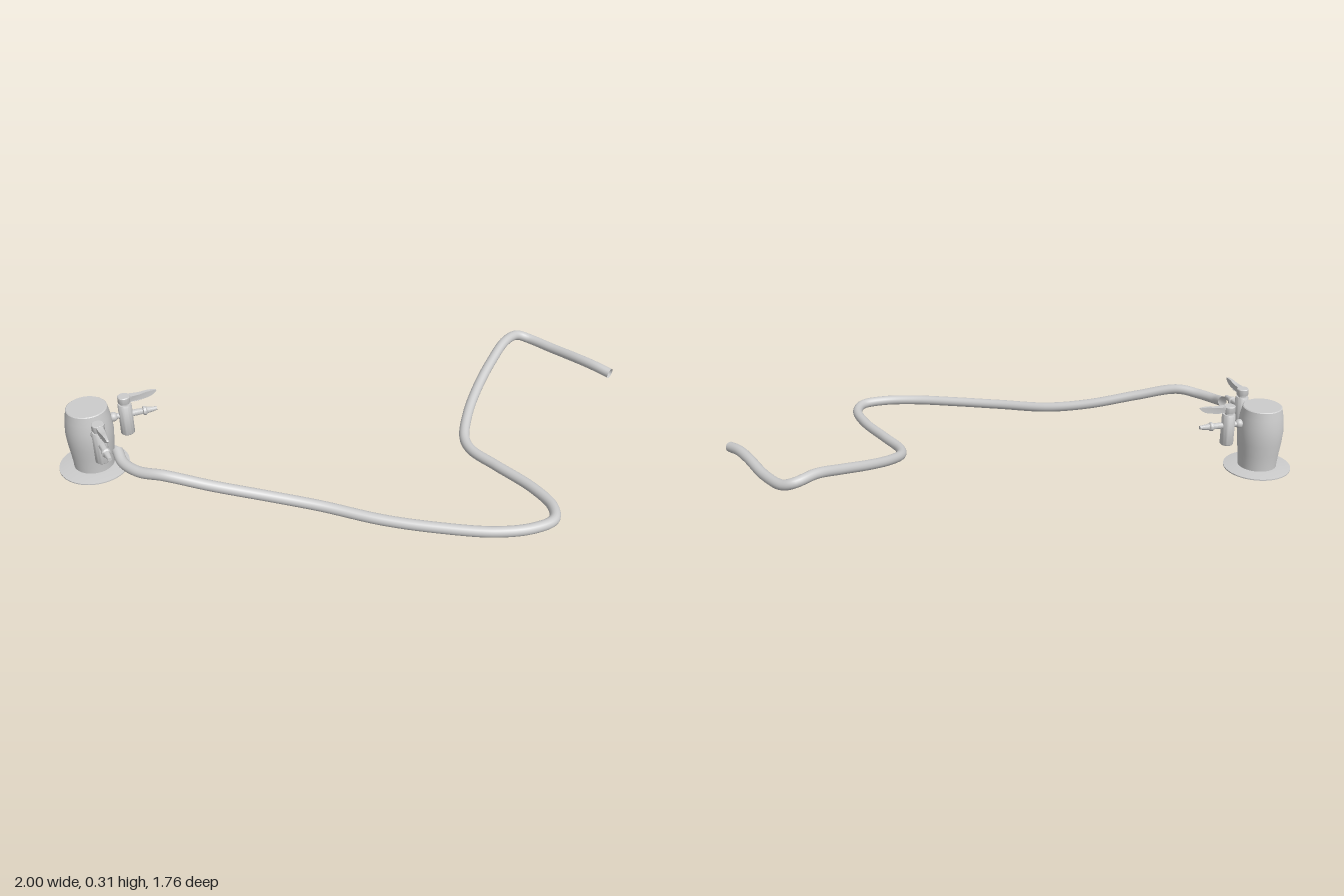
import * as THREE from 'three';
import { toCreasedNormals } from 'three/addons/utils/BufferGeometryUtils.js';

const material = new THREE.MeshStandardMaterial({ color: 0xcccccc, side: THREE.DoubleSide });

function add(parent, name, geometry, x = 0, y = 0, z = 0) {
  const mesh = new THREE.Mesh(geometry, material);
  mesh.name = name;
  mesh.position.set(x, y, z);
  parent.add(mesh);
  return mesh;
}

// Solid of revolution with crisp edges kept; points are [radius, height]
function lathe(points, segments = 32) {
  const profile = points.map(([r, h]) => new THREE.Vector2(r, h));
  return toCreasedNormals(new THREE.LatheGeometry(profile, segments), 0.6);
}

// Tap valve: local +x points away from the barrel, origin on the barrel axis
function createValve(name, angle, distance) {
  const valve = new THREE.Group();
  valve.name = name;
  valve.rotation.y = -angle;

  // Inlet pipe with a rounded union at the barrel wall
  const inlet = new THREE.CylinderGeometry(0.012, 0.012, distance - 0.07, 16).rotateZ(Math.PI / 2);
  add(valve, 'inletPipe', inlet, (distance + 0.07) / 2, 0.215, 0);
  add(valve, 'inletUnion', new THREE.SphereGeometry(0.02, 20, 14), 0.102, 0.215, 0);

  // Upright body, neck and handle hub
  add(valve, 'valveBody', lathe([
    [0, 0.127], [0.027, 0.127], [0.029, 0.13], [0.029, 0.262], [0.026, 0.267],
    [0.019, 0.267], [0.019, 0.276], [0.025, 0.276], [0.026, 0.279],
    [0.026, 0.302], [0.023, 0.305], [0, 0.305],
  ], 24), distance);

  // Outlet spout with a raised collar and tapering tip
  const spout = lathe([
    [0.014, 0.02], [0.013, 0.07], [0.019, 0.073], [0.019, 0.083],
    [0.014, 0.088], [0.008, 0.13], [0, 0.13],
  ], 20).rotateZ(-Math.PI / 2);
  add(valve, 'spout', spout, distance, 0.215, 0);

  // Wavy lever blade
  const side = new THREE.Shape();
  side.moveTo(0, 0.277);
  side.lineTo(0.035, 0.277);
  side.bezierCurveTo(0.06, 0.274, 0.075, 0.279, 0.095, 0.281);
  side.bezierCurveTo(0.115, 0.283, 0.13, 0.294, 0.136, 0.303);
  side.bezierCurveTo(0.135, 0.31, 0.105, 0.309, 0.085, 0.307);
  side.bezierCurveTo(0.065, 0.303, 0.05, 0.302, 0.03, 0.304);
  side.lineTo(0, 0.304);
  side.closePath();
  const blade = new THREE.ExtrudeGeometry(side, { depth: 0.026, bevelEnabled: false, curveSegments: 10 });
  blade.translate(0, 0, -0.013);
  // Narrow the blade towards its tip
  const p = blade.attributes.position;
  for (let i = 0; i < p.count; i++) {
    const t = Math.max(0, p.getX(i) - 0.035) / 0.101;
    p.setZ(i, p.getZ(i) * (1 - 0.72 * t));
  }
  blade.computeVertexNormals();
  add(valve, 'lever', toCreasedNormals(blade, 0.6), distance);
  return valve;
}

export function createModel() {
  const model = new THREE.Group();
  model.name = 'standpipeWithHose';

  const standpipe = new THREE.Group();
  standpipe.name = 'standpipe';
  standpipe.position.set(-0.855, 0, 0.698);
  model.add(standpipe);

  // Flared foot ring, open in the middle
  add(standpipe, 'footRing', lathe([
    [0.082, 0], [0.145, 0], [0.145, 0.005], [0.1, 0.012], [0.08, 0.013],
  ], 48));

  // Bulging barrel with a flat lid
  add(standpipe, 'barrel', lathe([
    [0.083, 0], [0.084, 0.03], [0.089, 0.08], [0.095, 0.13], [0.098, 0.175],
    [0.096, 0.21], [0.091, 0.25], [0.085, 0.278], [0.084, 0.285],
    [0.08, 0.288], [0, 0.288],
  ], 48));

  standpipe.add(createValve('frontValve', 0.607, 0.165));
  standpipe.add(createValve('backValve', -0.855, 0.154));

  // Hose centre line
  const path = [
    [-0.623, 0.215, 0.805], [-0.57, 0.2, 0.842], [-0.48, 0.198, 0.86], [-0.377, 0.204, 0.841],
    [-0.21, 0.16, 0.762], [-0.02, 0.107, 0.657], [0.163, 0.072, 0.578], [0.404, 0.049, 0.516],
    [0.618, 0.037, 0.441], [0.805, 0.03, 0.358], [0.922, 0.028, 0.27], [0.977, 0.027, 0.18],
    [0.944, 0.026, 0.1], [0.83, 0.025, 0.022], [0.645, 0.024, -0.05], [0.51, 0.025, -0.104],
    [0.455, 0.033, -0.16], [0.412, 0.068, -0.29], [0.391, 0.115, -0.45], [0.388, 0.162, -0.61],
    [0.396, 0.195, -0.746], [0.42, 0.187, -0.839], [0.468, 0.172, -0.86], [0.59, 0.167, -0.835],
    [0.75, 0.179, -0.776], [0.83, 0.18, -0.75], [0.899, 0.172, -0.735],
  ].map((q) => new THREE.Vector3(...q));
  const curve = new THREE.CatmullRomCurve3(path, false, 'centripetal');
  add(model, 'hose', new THREE.TubeGeometry(curve, 260, 0.022, 18, false));

  return model;
}
